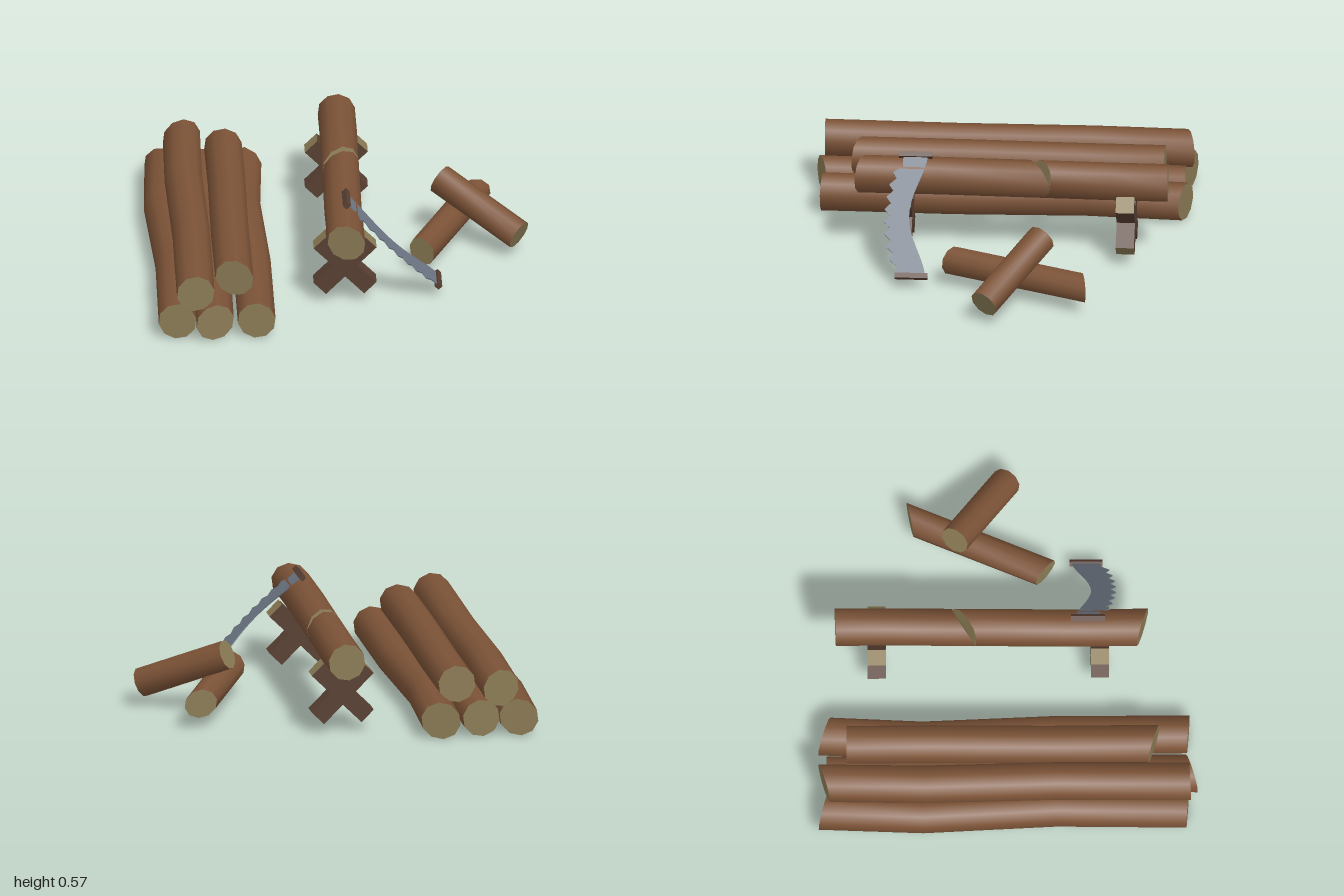
import * as THREE from 'three';

const SIDES = 10;

// One ring of a log: centre x, y, z, radius, and how far the ring leans along z per unit of x
function makeRing(x, y, z, r, slope = 0) {
  return Array.from({ length: SIDES }, (_, i) => {
    const a = ((i + 0.3) / SIDES) * Math.PI * 2;
    const dx = Math.cos(a) * r;
    return new THREE.Vector3(x + dx, y + Math.sin(a) * r, z + dx * slope);
  });
}

// Surface through rings ordered along +z
function skin(rings) {
  const pos = rings.flat().flatMap((p) => p.toArray());
  const index = [];
  for (let j = 0; j < rings.length - 1; j++) {
    for (let i = 0; i < SIDES; i++) {
      const n = (i + 1) % SIDES;
      const a = j * SIDES + i, b = j * SIDES + n;
      index.push(a, b, b + SIDES, a, b + SIDES, a + SIDES);
    }
  }
  const g = new THREE.BufferGeometry();
  g.setAttribute('position', new THREE.Float32BufferAttribute(pos, 3));
  g.setIndex(index);
  g.computeVertexNormals();
  return g;
}

// Flat sawn end closing a ring
function endCap(ring, facesForward) {
  const index = [];
  for (let i = 1; i < SIDES - 1; i++) {
    index.push(0, ...(facesForward ? [i, i + 1] : [i + 1, i]));
  }
  const g = new THREE.BufferGeometry();
  g.setAttribute('position', new THREE.Float32BufferAttribute(ring.flatMap((p) => p.toArray()), 3));
  g.setIndex(index);
  g.computeVertexNormals();
  return g;
}

export function createModel() {
  const model = new THREE.Group();
  const mat = (name, color) => {
    const m = new THREE.MeshStandardMaterial({ color });
    m.name = name;
    return m;
  };
  const bark = mat('bark brown', 0x7c5337);
  const wood = mat('sawn wood', 0x8b7b55);
  const timber = mat('dark timber', 0x583f32);
  const steel = mat('saw steel', 0x6c7683);

  const add = (parent, name, geometry, material) => {
    const mesh = new THREE.Mesh(geometry, material);
    mesh.name = name;
    parent.add(mesh);
    return mesh;
  };

  function addLog(name, rings) {
    const g = new THREE.Group();
    g.name = name;
    add(g, 'bark', skin(rings), bark);
    add(g, 'backEnd', endCap(rings[0], false), wood);
    add(g, 'frontEnd', endCap(rings[rings.length - 1], true), wood);
    model.add(g);
    return g;
  }

  // Stacked logs: y, then [x, z, slope] stations from back to front
  const pile = [
    [0.105, [[-0.875, -0.97, 0.28], [-0.898, -0.45], [-0.865, 0.25], [-0.875, 0.937, 0.08]]],
    [0.105, [[-0.678, -0.95, -0.05], [-0.68, -0.45], [-0.672, 0.25], [-0.678, 0.96, -0.31]]],
    [0.105, [[-0.46, -0.965, 0.33], [-0.485, -0.45], [-0.458, 0.25], [-0.46, 0.943, 0.08]]],
    [0.268, [[-0.78, -0.968, -0.3], [-0.79, -0.45], [-0.775, 0.25], [-0.78, 0.95, -0.05]]],
    [0.268, [[-0.567, -0.85, 0], [-0.565, -0.4], [-0.572, 0.2], [-0.57, 0.762, 0.31]]],
  ];
  pile.forEach(([y, stations], i) => {
    addLog('stackedLog' + (i + 1), stations.map(([x, z, s]) => makeRing(x, y, z, 0.1, s)));
  });

  // Log being sawn, with a slanted V cut reaching halfway down
  const cy = 0.432, r = 0.099;
  const cut = makeRing(0.025, cy, -0.23, r, -0.6);
  const lip = (dir) => cut.map((p) => {
    const rise = Math.max(0, p.y - cy);
    return new THREE.Vector3(p.x, p.y, p.z + dir * rise * 0.28);
  });
  const cutFloor = cut.map((p) => new THREE.Vector3(p.x, Math.min(p.y, cy), p.z));
  const backLip = lip(-1), frontLip = lip(1);
  const sawn = new THREE.Group();
  sawn.name = 'sawnLog';
  model.add(sawn);
  const backHalf = [makeRing(0.03, cy, -0.905, r, -0.03), makeRing(0.03, cy, -0.6, r), backLip];
  const frontHalf = [frontLip, makeRing(0.018, cy, 0.3, r), makeRing(0.02, cy, 0.706, r, 0.31)];
  add(sawn, 'backBark', skin(backHalf), bark);
  add(sawn, 'frontBark', skin(frontHalf), bark);
  add(sawn, 'backEnd', endCap(backHalf[0], false), wood);
  add(sawn, 'frontEnd', endCap(frontHalf[2], true), wood);
  add(sawn, 'cutBackFace', skin([backLip, cutFloor]), wood);
  add(sawn, 'cutFrontFace', skin([cutFloor, frontLip]), wood);

  // Turn a log so its length follows a direction
  function aim(group, origin, axis, side) {
    const d = axis.normalize(), a = side.normalize();
    const b = new THREE.Vector3().crossVectors(d, a);
    group.applyMatrix4(new THREE.Matrix4().makeBasis(a, b, d).setPosition(origin));
  }

  // Two loose short logs, one leaning on the other
  const lying = addLog('lyingLog', [
    makeRing(0, 0, 0, 0.077, -0.3), makeRing(0, 0, 0.769, 0.077, 0.68),
  ]);
  aim(lying, new THREE.Vector3(0.435, 0.136, 0.2),
    new THREE.Vector3(0.389, 0, -0.921), new THREE.Vector3(0.921, 0, 0.389));

  const leaning = addLog('leaningLog', [makeRing(0, 0, 0, 0.079), makeRing(0, 0, 0.53, 0.079)]);
  const lean = new THREE.Vector3(0.405, -0.205, 0.275);
  aim(leaning, new THREE.Vector3(0.548, 0.33, -0.275), lean,
    new THREE.Vector3(-0.275, 0, 0.405));

  // Crossed trestles: dark beams with pale sawn ends
  const beamMaterials = [wood, wood, timber, timber, timber, timber];
  for (const [name, z] of [['backTrestle', -0.688], ['frontTrestle', 0.482]]) {
    const trestle = new THREE.Group();
    trestle.name = name;
    for (const dir of [1, -1]) {
      const beam = add(trestle, 'crossBeam', new THREE.BoxGeometry(0.375, 0.092, 0.096), beamMaterials);
      beam.rotation.z = dir * Math.PI / 4;
    }
    trestle.position.set(0.02, 0.22, z);
    model.add(trestle);
  }

  // Saw: local x runs down the blade, local y is the model's z
  const saw = new THREE.Group();
  saw.name = 'saw';
  const length = 0.68, teeth = 8;
  const blade = new THREE.Shape();
  blade.moveTo(0, 0.355);
  for (let i = 1; i <= 16; i++) {
    const t = i / 16;
    blade.lineTo(t * length, 0.355 - 0.018 * t + 0.092 * Math.sin(Math.PI * t) ** 1.6);
  }
  blade.lineTo(length, 0.478);
  for (let i = 0; i < teeth; i++) {
    const edge = (t) => 0.478 + 0.062 * Math.sin(Math.PI * t);
    const t0 = 0.91 - (i / teeth) * 0.82;
    const tip = t0 - 0.051;
    blade.lineTo(t0 * length, edge(t0));
    blade.lineTo(tip * length, edge(tip) + 0.03);
  }
  blade.lineTo(0.09 * length, 0.484);
  blade.lineTo(0, 0.484);
  const bladeGeometry = new THREE.ExtrudeGeometry(blade, { depth: 0.006, bevelEnabled: false });
  bladeGeometry.translate(0, 0, -0.003);
  add(saw, 'blade', bladeGeometry, steel);
  add(saw, 'topHandle', new THREE.BoxGeometry(0.028, 0.176, 0.032), timber).position.set(-0.005, 0.42, 0);
  add(saw, 'bottomHandle', new THREE.BoxGeometry(0.028, 0.172, 0.028), timber).position.set(length - 0.005, 0.412, 0);
  aim(saw, new THREE.Vector3(0.034, 0.55, 0),
    new THREE.Vector3(-1, -1, 0), new THREE.Vector3(1, -1, 0));
  model.add(saw);

  return model;
}
